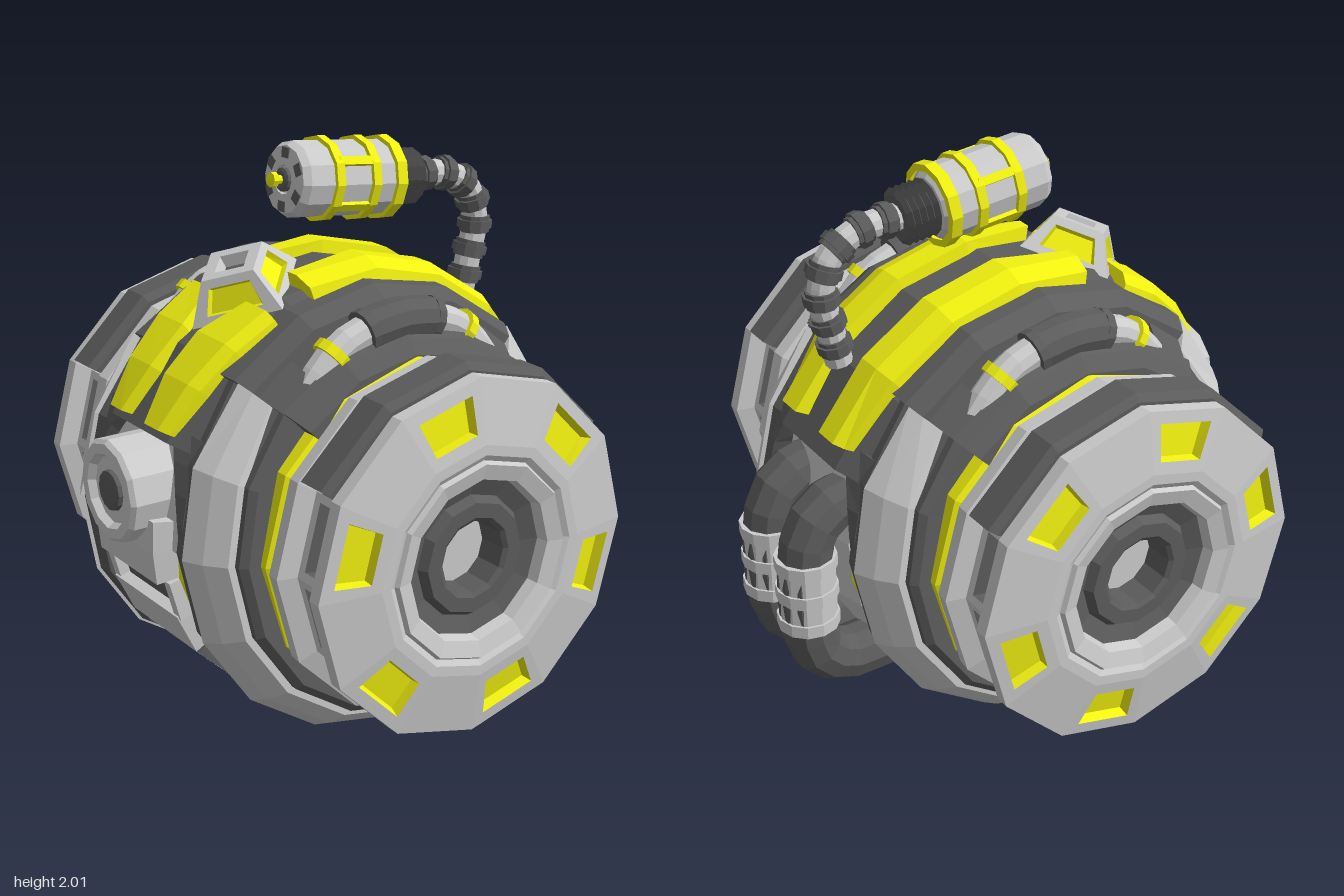
import * as THREE from 'three';

const mat = (color) => new THREE.MeshStandardMaterial({ color, flatShading: true, side: THREE.DoubleSide });
const LIGHT = mat(0xcccccc), DARK = mat(0x5c5c5c), YELLOW = mat(0xf0f010);
const CY = 0.775, CZ = 0.045; // centre of the barrel, whose axis runs along x
const V = (x, y, z) => new THREE.Vector3(x, y, z);
// point at position x, radius r and angle d (degrees from the front, going up)
const P = (x, r, d) => V(x, CY + r * Math.sin(d * Math.PI / 180), CZ + r * Math.cos(d * Math.PI / 180));

function add(group, name, geometry, material) {
  const m = new THREE.Mesh(geometry, material);
  m.name = name;
  group.add(m);
  return m;
}

// mesh from triangles and quads given as lists of corners
function polys(group, name, faces, material) {
  const a = [];
  for (const f of faces) for (let i = 1; i < f.length - 1; i++) for (const p of [f[0], f[i], f[i + 1]]) a.push(p.x, p.y, p.z);
  const g = new THREE.BufferGeometry();
  g.setAttribute('position', new THREE.Float32BufferAttribute(a, 3));
  g.computeVertexNormals();
  return add(group, name, g, material);
}

// profile of [x, r] pairs (or a function of t giving one) swept around the barrel axis
function sweep(group, name, profile, a0, a1, n, material, { open = false, shear = 0 } = {}) {
  const rows = [];
  for (let k = 0; k <= n; k++) {
    const pr = typeof profile === 'function' ? profile(k / n) : profile;
    rows.push(pr.map(([x, r]) => {
      const p = P(x, r, a0 + (a1 - a0) * k / n);
      p.x -= shear * (p.y - CY);
      return p;
    }));
  }
  const faces = [], c = rows[0].length;
  for (let k = 0; k < n; k++) for (let i = 0; i < (open ? c - 1 : c); i++) {
    const j = (i + 1) % c;
    faces.push([rows[k][i], rows[k][j], rows[k + 1][j], rows[k + 1][i]]);
  }
  if (!open) faces.push([...rows[0]].reverse(), rows[n]);
  return polys(group, name, faces, material);
}

// four-cornered face with a recessed window
function panel(group, name, c, u, v, depth, frame, wall, floor) {
  const n = c[1].clone().sub(c[0]).cross(c[3].clone().sub(c[0])).normalize().multiplyScalar(-depth);
  const at = (s, t) => c[0].clone().lerp(c[1], s).lerp(c[3].clone().lerp(c[2], s), t);
  const ring = (s, t) => [at(s, t), at(1 - s, t), at(1 - s, 1 - t), at(s, 1 - t)];
  const h = ring(u, v), f = ring(u * 1.2, v * 1.2).map((p) => p.add(n));
  const band = (p, q) => [0, 1, 2, 3].map((i) => [p[i], p[(i + 1) % 4], q[(i + 1) % 4], q[i]]);
  polys(group, name + 'Frame', band(c, h), frame);
  polys(group, name + 'Wall', band(h, f), wall);
  polys(group, name + 'Floor', [f], floor);
}

const tube = (group, name, pts, r, m, seg = 14) =>
  add(group, name, new THREE.TubeGeometry(new THREE.CatmullRomCurve3(pts), seg, r, 10), m);

// short cylinder centred on p and running along dir
function collar(group, name, p, dir, r, h, m, sides = 12) {
  const c = add(group, name, new THREE.CylinderGeometry(r, r, h, sides), m);
  c.position.copy(p);
  c.quaternion.setFromUnitVectors(V(0, 1, 0), dir.clone().normalize());
}

function mirrored(group) {
  const out = new THREE.Group();
  for (const m of group.children) {
    m.updateMatrix();
    const g = m.geometry.index ? m.geometry.toNonIndexed() : m.geometry.clone();
    g.applyMatrix4(m.matrix).applyMatrix4(new THREE.Matrix4().makeScale(-1, 1, 1));
    const p = g.attributes.position;
    for (let i = 0; i < p.count; i += 3) { // restore the outward winding
      const a = V().fromBufferAttribute(p, i + 1), b = V().fromBufferAttribute(p, i + 2);
      p.setXYZ(i + 1, b.x, b.y, b.z);
      p.setXYZ(i + 2, a.x, a.y, a.z);
    }
    g.computeVertexNormals();
    add(out, m.name, g, m.material);
  }
  return out;
}

function buildWheel(g) {
  const rev = (name, prof, m) => sweep(g, name, prof, 0, 360, 12, m, { open: true });
  rev('yellowRing', [[0.44, 0.55], [0.49, 0.595], [0.545, 0.595], [0.57, 0.55]], YELLOW);
  rev('innerRim', [[0.56, 0.5], [0.565, 0.565], [0.59, 0.61], [0.64, 0.615], [0.665, 0.53]], LIGHT);
  rev('outerRim', [[0.8, 0.53], [0.82, 0.615], [0.868, 0.615]], LIGHT);
  rev('hubRim', [[0.902, 0.4], [0.902, 0.365], [0.89, 0.345], [0.905, 0.335], [0.89, 0.28], [0.85, 0.27]], LIGHT);
  rev('hubRing', [[0.85, 0.27], [0.83, 0.21], [0.86, 0.19], [0.86, 0.14], [0.85, 0.125], [0.75, 0.12]], DARK);
  rev('hubCentre', [[0.75, 0.125], [0.75, 0]], LIGHT);
  for (let k = 0; k < 12; k++) {
    const a = k * 30, b = a + 30;
    const face = [P(0.868, 0.615, a), P(0.902, 0.4, a), P(0.902, 0.4, b), P(0.868, 0.615, b)];
    if (k % 2) polys(g, 'wheelFace', [face], LIGHT);
    else panel(g, 'wheelWindow', face, 0.2, 0.14, 0.035, LIGHT, YELLOW, YELLOW);
    if (k < 1 || k > 4) panel(g, 'treadWindow', [P(0.66, 0.55, a), P(0.81, 0.55, a), P(0.81, 0.55, b), P(0.66, 0.55, b)],
      0.2, 0.1, 0.07, LIGHT, DARK, DARK);
  }
  sweep(g, 'treadCover', [[0.66, 0.5], [0.66, 0.62], [0.685, 0.645], [0.79, 0.645], [0.81, 0.62], [0.81, 0.5]], 31, 149, 4, DARK);
}

function buildSide(g) {
  buildWheel(g);
  // hoop, open over the top where the pipe shows
  const s = { shear: 0.06 };
  sweep(g, 'hoop', [[0.26, 0.6], [0.275, 0.76], [0.33, 0.77], [0.47, 0.665], [0.5, 0.665], [0.52, 0.64], [0.515, 0.5]], 135, 405, 12, DARK, s);
  for (const a of [45, 122]) sweep(g, 'hoopEnd', [[0.34, 0.6], [0.36, 0.745], [0.5, 0.66], [0.52, 0.56]], a, a + 13, 1, DARK, s);
  sweep(g, 'hoopPlate', (t) => {
    const i = t === 0 || t === 1 ? 0.025 : 0;
    return [[0.33 + i, 0.7], [0.342 + i, 0.78], [0.41, 0.745], [0.475 - i, 0.69], [0.482 - i, 0.58]];
  }, 135, 405, 12, LIGHT, s);
  sweep(g, 'innerRail', [[0.2, 0.6], [0.22, 0.79], [0.35, 0.785], [0.41, 0.745], [0.415, 0.58]], 45, 135, 4, DARK, s);
  sweep(g, 'outerRail', [[0.5, 0.5], [0.505, 0.675], [0.54, 0.65], [0.58, 0.6], [0.58, 0.5]], 45, 135, 4, DARK, s);
  sweep(g, 'yellowStrip', [[0.2, 0.6], [0.215, 0.73], [0.3, 0.725], [0.3, 0.6]], 170, 370, 10, YELLOW);
  // dark arches from the hoop up to the roof, front and back
  for (const [a, b] of [[0, 29], [180, 151]]) {
    const arch = (t) => {
      const x = 0.275 - 0.135 * t * t, p = [[x, 0.6], [x + 0.01, 0.755 + 0.03 * t], [0.3, 0.755], [0.34, 0.6]];
      return a < b ? p : p.reverse();
    };
    sweep(g, 'arch', arch, a, b, 4, DARK);
  }
  // pipe in the roof opening
  const pipe = [[0.44, 1.22], [0.3, 1.39], [0.17, 1.45], [0.04, 1.465], [-0.09, 1.45], [-0.22, 1.39], [-0.36, 1.22]].map(([z, y]) => V(0.43, y, z));
  tube(g, 'roofPipe', pipe, 0.055, LIGHT);
  tube(g, 'roofPipeSleeve', pipe.slice(2, 5), 0.074, DARK, 6);
  for (const k of [2, 4]) collar(g, 'sleeveEnd', pipe[k], pipe[k + 1].clone().sub(pipe[k - 1]), 0.074, 0.03, DARK);
  for (const k of [1, 5]) collar(g, 'roofPipeBand', pipe[k], pipe[k + 1].clone().sub(pipe[k - 1]), 0.068, 0.035, YELLOW);
  // yellow plates on the roof and the brow
  sweep(g, 'roofPlate', (t) => {
    const e = t > 0.9 ? 0.04 : 0, b = t === 0 ? 0.04 : 0;
    return [[0.07 + b, 0.77], [0.08 + b, 0.845], [0.17, 0.845], [0.24 - e, 0.815], [0.255 - e, 0.74]];
  }, 75, 152, 4, YELLOW);
  const brow = [[0.065, 0.205], [0.035, 0.235], [0.035, 0.26], [0.1, 0.275]];
  sweep(g, 'browPlate', (t) => {
    const [a, b] = brow[Math.round(t * 3)], e = 0.015 * (1 - t);
    return [[a, 0.74], [a + 0.012, 0.83 + e], [b - 0.05, 0.825 + e], [b - 0.015, 0.795 + e], [b, 0.72]];
  }, 27, 63, 3, YELLOW);
  // back pipe with sleeve and rings
  tube(g, 'backPipe', [[-0.55, 0.93], [-0.68, 0.92], [-0.77, 0.85], [-0.8, 0.72], [-0.8, 0.48], [-0.77, 0.36], [-0.68, 0.29], [-0.5, 0.285]]
    .map(([z, y]) => V(0.125, y, z)), 0.095, DARK, 14);
  collar(g, 'backPipeSleeve', V(0.125, 0.615, -0.798), V(0, 1, 0), 0.1, 0.24, LIGHT);
  for (const y of [0.5, 0.615, 0.73]) collar(g, 'backPipeRing', V(0.125, y, -0.798), V(0, 1, 0), 0.108, 0.045, LIGHT);
  // lower front window
  const q = [P(0, 0.765, -57), P(0.21, 0.765, -57), P(0.21, 0.775, -32), P(0, 0.775, -32)];
  panel(g, 'frontWindow', q, 0.1, 0.1, 0.09, LIGHT, DARK, DARK);
}

function buildBody(g) {
  sweep(g, 'core', [[-0.54, 0], [-0.54, 0.55], [-0.3, 0.62], [0.3, 0.62], [0.54, 0.55], [0.54, 0]], 0, 360, 16, DARK, { open: true });
  sweep(g, 'belly', [[-0.23, 0.6], [-0.22, 0.73], [-0.1, 0.755], [0.1, 0.755], [0.22, 0.73], [0.23, 0.6]], 157.5, 303, 7, LIGHT);
  sweep(g, 'chest', [[-0.29, 0.6], [-0.28, 0.735], [0.28, 0.735], [0.29, 0.6]], -2, 25, 2, LIGHT);
  sweep(g, 'roofShell', [[-0.29, 0.6], [-0.28, 0.755], [-0.18, 0.805], [0.18, 0.805], [0.28, 0.755], [0.29, 0.6]], 25, 158, 6, DARK);
  sweep(g, 'snout', [[-0.22, 0.65], [-0.19, 0.8], [0.19, 0.8], [0.22, 0.65]], -10, 6, 2, LIGHT);
  sweep(g, 'snoutSlot', [[-0.18, 0.65], [-0.17, 0.735], [0.17, 0.735], [0.18, 0.65]], -21, -10, 1, DARK);
  for (const x of [-0.2, 0.2]) sweep(g, 'slotSide', [[x - 0.02, 0.65], [x - 0.02, 0.77], [x + 0.02, 0.77], [x + 0.02, 0.65]], -21, -10, 1, LIGHT);
  sweep(g, 'windowSill', [[-0.22, 0.65], [-0.21, 0.775], [0.21, 0.775], [0.22, 0.65]], -32, -20, 1, LIGHT);

  // headlight
  const lamp = (name, pts, m) => {
    const l = add(g, name, new THREE.LatheGeometry(pts.map(([r, z]) => new THREE.Vector2(r, z)), 12), m);
    l.rotation.x = Math.PI / 2;
    l.position.y = 0.92;
  };
  lamp('headlight', [[0.178, 0.6], [0.178, 0.89], [0.165, 0.905], [0.13, 0.905], [0.115, 0.88], [0.06, 0.88]], LIGHT);
  lamp('headlightLens', [[0.072, 0.87], [0.068, 0.895], [0.05, 0.9], [0, 0.9]], DARK);

  // diamond-shaped hatch on the brow
  const up = P(0, 1, 67).sub(P(0, 0, 67)), fwd = V(0, -up.z, up.y);
  const at = (r, w, k) => P(0, r, 67).addScaledVector(V(1, 0, 0), w * Math.cos(k * Math.PI / 2)).addScaledVector(fwd, -w * Math.sin(k * Math.PI / 2));
  for (let k = 0; k < 4; k++)
    panel(g, 'hatchSide', [at(0.79, 0.225, k), at(0.79, 0.225, k + 1), at(0.92, 0.13, k + 1), at(0.92, 0.13, k)], 0.16, 0.2, 0.02, LIGHT, YELLOW, YELLOW);
  panel(g, 'hatchTop', [0, 1, 2, 3].map((k) => at(0.92, 0.13, k)), 0.22, 0.22, 0.04, LIGHT, LIGHT, DARK);
}

function buildTurret(g) {
  // ribbed hose
  const pts = [[-0.57, 1.36], [-0.6, 1.5], [-0.625, 1.62], [-0.59, 1.74], [-0.49, 1.805], [-0.3, 1.82]].map(([z, y]) => V(0, y, z));
  const curve = new THREE.CatmullRomCurve3(pts);
  tube(g, 'hose', pts, 0.047, LIGHT, 24);
  for (let i = 0; i < 7; i++) {
    const t = 0.1 + i * 0.13;
    collar(g, 'hoseRib', curve.getPointAt(t), curve.getTangentAt(t), 0.054, 0.06, DARK, 10);
    collar(g, 'hoseRibRing', curve.getPointAt(t), curve.getTangentAt(t), 0.063, 0.03, DARK, 10);
  }
  // gun, tilted slightly upward
  const gun = new THREE.Group();
  gun.name = 'gun';
  gun.position.y = 1.85;
  gun.rotation.x = -0.1;
  g.add(gun);
  const lathe = (name, list, m, seg = 12) => {
    add(gun, name, new THREE.LatheGeometry(list.map(([r, z]) => new THREE.Vector2(r, z)), seg), m).rotation.x = Math.PI / 2;
  };
  lathe('gunBarrel', [[0, -0.22], [0.1, -0.22], [0.13, -0.19], [0.13, 0.17], [0.115, 0.195], [0.05, 0.2], [0.045, 0.19], [0, 0.19]], LIGHT);
  const folds = [];
  for (let i = 0; i <= 10; i++) folds.push([i % 2 ? 0.1 : 0.078, -0.34 + i * 0.0125]);
  lathe('bellows', [[0, -0.34], ...folds], DARK);
  for (const [z, h] of [[0.06, 0.016], [-0.09, 0.016], [-0.195, 0.02]])
    lathe('gunRing', [[0.12, z - h], [0.145, z - h], [0.145, z + h], [0.12, z + h]], YELLOW);
  lathe('nozzleRing', [[0.04, 0.19], [0.04, 0.205], [0.03, 0.21], [0, 0.21]], DARK);
  lathe('nozzle', [[0.015, 0.2], [0.015, 0.225], [0.026, 0.23], [0.026, 0.25], [0, 0.255]], YELLOW, 8);
  for (let i = 0; i < 6; i++) {
    const a = i * Math.PI / 3 + Math.PI / 6;
    const port = add(gun, 'gunPort', new THREE.BoxGeometry(0.035, 0.04, 0.02), DARK);
    port.position.set(0.09 * Math.cos(a), 0.09 * Math.sin(a), 0.19);
    port.rotation.z = a;
  }
  for (const a of [0.6, -0.6, Math.PI - 0.6, Math.PI + 0.6]) {
    const bar = add(gun, 'gunBar', new THREE.BoxGeometry(0.025, 0.03, 0.14), YELLOW);
    bar.position.set(0.13 * Math.cos(a), 0.13 * Math.sin(a), -0.015);
    bar.rotation.z = a;
  }
}

export function createModel() {
  const model = new THREE.Group(), left = new THREE.Group(), body = new THREE.Group(), turret = new THREE.Group();
  buildSide(left);
  buildBody(body);
  buildTurret(turret);
  const right = mirrored(left);
  [left.name, right.name, body.name, turret.name, model.name] = ['leftSide', 'rightSide', 'body', 'turret', 'barrelRobot'];
  model.add(left, right, body, turret);
  return model;
}
